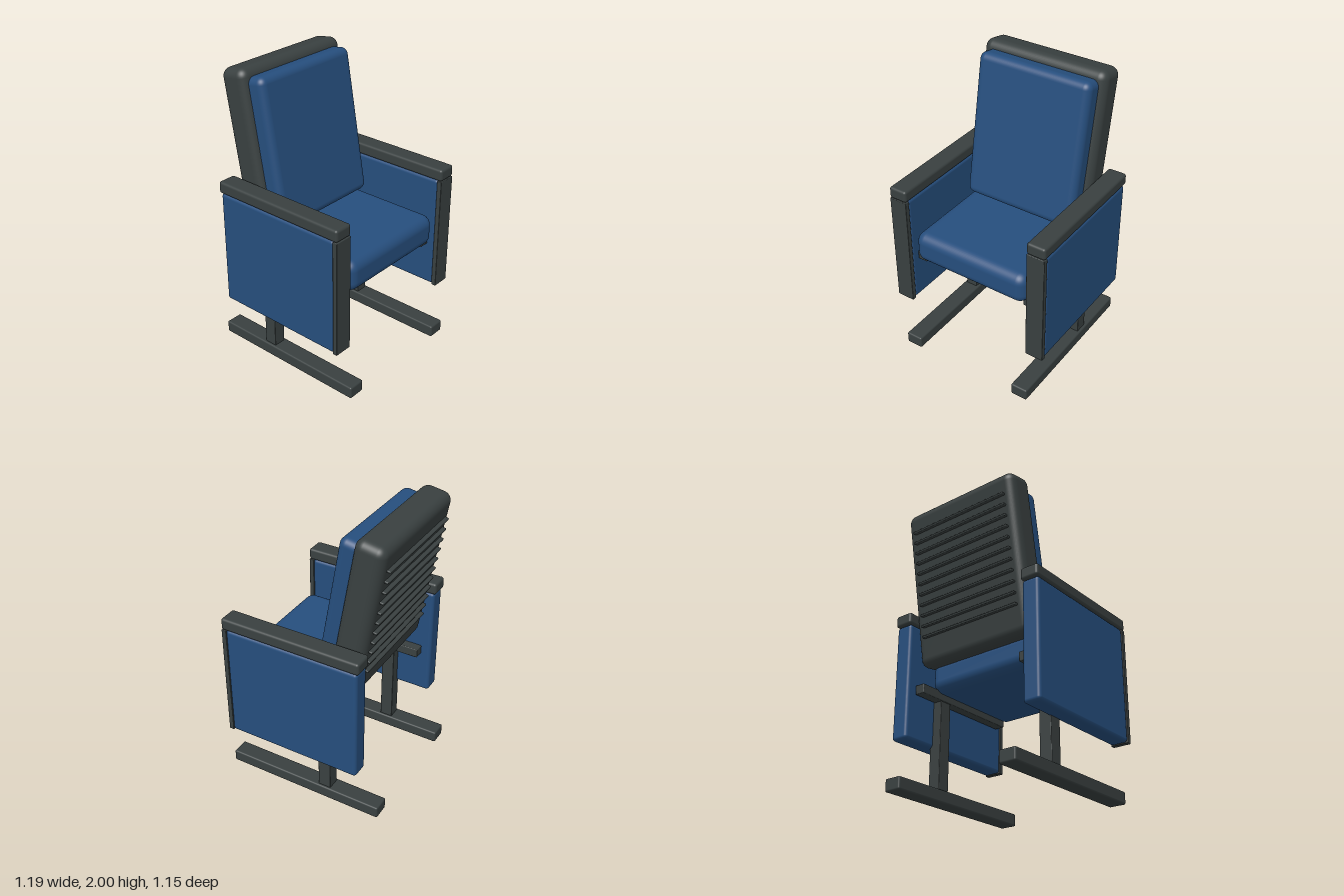
import * as THREE from 'three';
import { RoundedBoxGeometry } from 'three/addons/geometries/RoundedBoxGeometry.js';

export function createModel() {
  const model = new THREE.Group();
  model.name = 'auditoriumChair';

  const fabric = new THREE.MeshStandardMaterial({ name: 'blue fabric', color: 0x264e7d });
  const frame = new THREE.MeshStandardMaterial({ name: 'charcoal frame', color: 0x394040 });

  // Rounded block given by its extents on each axis
  function block(parent, name, material, [x0, x1], [y0, y1], [z0, z1], radius) {
    const geometry = new RoundedBoxGeometry(x1 - x0, y1 - y0, z1 - z0, 5, radius);
    const mesh = new THREE.Mesh(geometry, material);
    mesh.name = name;
    mesh.position.set((x0 + x1) / 2, (y0 + y1) / 2, (z0 + z1) / 2);
    parent.add(mesh);
    return mesh;
  }

  // Seat cushion
  block(model, 'seatCushion', fabric, [-0.433, 0.433], [0.73, 0.95], [-0.28, 0.51], 0.07);

  // Reclined backrest, built upright around the centre of its shell
  const back = new THREE.Group();
  back.name = 'backrest';
  back.position.set(0, 1.445, -0.358);
  back.rotation.x = -THREE.MathUtils.degToRad(10);
  model.add(back);
  block(back, 'backShell', frame, [-0.46, 0.46], [-0.555, 0.555], [-0.105, 0.105], 0.06);
  block(back, 'backCushion', fabric, [-0.418, 0.418], [-0.514, 0.496], [0.06, 0.219], 0.05);

  // Horizontal ribs on the rear of the shell
  for (let i = 0; i < 11; i++) {
    const y = 0.4 - i * 0.0755;
    block(back, 'backRib', frame, [-0.39, 0.39], [y - 0.008, y + 0.008], [-0.131, -0.095], 0.006);
  }

  // Arms, supports and feet on both sides
  for (const [side, label] of [[1, 'left'], [-1, 'right']]) {
    const group = new THREE.Group();
    group.name = label + 'Side';
    model.add(group);
    const add = (name, material, [a, b], y, z, radius) =>
      block(group, name, material, side > 0 ? [a, b] : [-b, -a], y, z, radius);

    add('armrest', frame, [0.462, 0.595], [1.187, 1.27], [-0.47, 0.53], 0.018);
    add('sidePanel', fabric, [0.466, 0.591], [0.378, 1.187], [-0.457, 0.5], 0.022);
    add('panelFrontTrim', frame, [0.464, 0.593], [0.375, 1.187], [0.495, 0.53], 0.005);
    add('seatRail', frame, [0.39, 0.462], [0.69, 0.755], [-0.39, 0.445], 0.006);
    add('post', frame, [0.4, 0.487], [0.06, 0.72], [-0.206, -0.114], 0.005);
    add('foot', frame, [0.383, 0.505], [0, 0.085], [-0.575, 0.575], 0.012);
  }

  return model;
}
